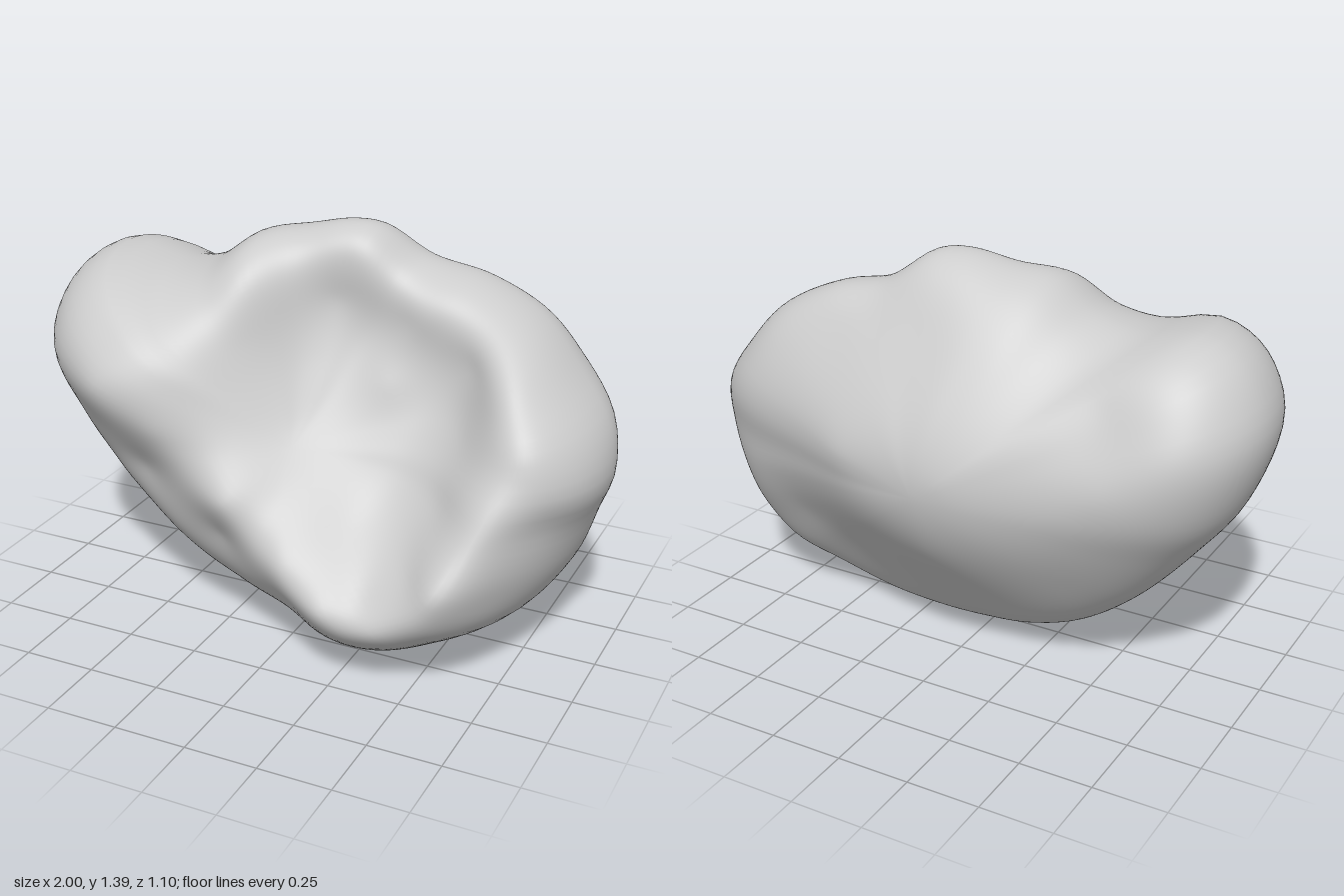
import * as THREE from 'three';
import { mergeVertices } from 'three/addons/utils/BufferGeometryUtils.js';

const CY = 0.7; // height of the boulder's centre

// Widest outline of the boulder, counter-clockwise: x, y, z
const OUTLINE = [
  [1, 0.68, -0.04], [0.97, 0.83, -0.08], [0.85, 0.98, -0.14], [0.7, 1.13, -0.18], [0.5, 1.23, -0.19],
  [0.3, 1.28, -0.17], [0.15, 1.38, -0.12], [0.05, 1.39, -0.1], [-0.1, 1.36, -0.08], [-0.25, 1.33, -0.04],
  [-0.4, 1.23, -0.03], [-0.55, 1.2, -0.03], [-0.75, 1.235, -0.04], [-0.87, 1.19, -0.05], [-0.95, 1.1, -0.05],
  [-1, 0.95, -0.06], [-0.93, 0.7, -0.08], [-0.8, 0.52, -0.08], [-0.6, 0.3, -0.08], [-0.4, 0.15, -0.07],
  [-0.2, 0.07, -0.06], [0, 0.03, -0.04], [0.2, 0, -0.01], [0.4, 0.02, -0.02], [0.6, 0.1, -0.06],
  [0.77, 0.19, -0.1], [0.88, 0.34, -0.11], [0.95, 0.53, -0.08],
];

// Points on the front: scooped hollow, its rim, the side lobe with its diagonal ridge, the lower flank
const FRONT = [
  [0.05, 1.15, 0.01], [0.3, 1.1, 0], [0.25, 0.9, 0.06], [0.25, 0.7, 0.15], [0.25, 0.5, 0.3],
  [0.34, 0.34, 0.46], [0.55, 1, 0.05], [0.55, 0.8, 0.14], [0.53, 0.6, 0.28], [0.5, 0.42, 0.44],
  [0, 0.95, 0.1], [0, 0.76, 0.21], [0.02, 0.58, 0.36], [-0.18, 1.03, 0.23], [-0.17, 0.82, 0.33],
  [0.1, 1.27, 0.01], [0.3, 1.21, -0.02], [0.58, 1.13, 0.01], [0.74, 1, 0.14], [0.83, 0.88, 0.23],
  [0.8, 0.75, 0.31], [0.72, 0.59, 0.41], [0.62, 0.42, 0.53], [0.41, 0.24, 0.53], [0.24, 0.29, 0.55],
  [-0.2, 1.23, 0.17], [-0.34, 1.05, 0.34], [-0.32, 0.9, 0.42], [-0.6, 0.9, 0.5], [-0.4, 0.76, 0.47],
  [-0.14, 0.56, 0.47], [0.08, 0.4, 0.5], [-0.82, 0.97, 0.36], [-0.58, 1.09, 0.38],
  [-0.75, 0.74, 0.33], [-0.5, 0.58, 0.35], [-0.2, 0.4, 0.38], [0.1, 0.21, 0.43],
  [-0.62, 0.5, 0.28], [-0.4, 0.36, 0.32], [-0.12, 0.2, 0.32], [0.35, 0.15, 0.46], [0.74, 0.36, 0.36],
  [0.88, 0.6, 0.22],
];

// Points on the back: broad bulge at mid height, a squarish edge toward +x, a full lower belly toward -x
const BACK = [
  [-0.1, 0.76, -0.55], [0.3, 0.78, -0.53], [-0.6, 0.8, -0.46], [0.62, 0.75, -0.43], [0.1, 1.2, -0.33],
  [0, 1, -0.47], [0.4, 1.15, -0.34], [-0.22, 1.2, -0.3], [-0.55, 1.05, -0.35], [0, 0.47, -0.46],
  [-0.15, 0.21, -0.25], [0.3, 0.2, -0.2], [-0.45, 0.4, -0.33], [-0.72, 0.62, -0.36], [0.35, 0.48, -0.4],
  [0.6, 0.4, -0.29], [0.75, 0.33, -0.24], [0.88, 0.75, -0.31], [0.85, 0.5, -0.28], [-0.84, 0.95, -0.37],
  [0.6, 1.03, -0.39], [0.8, 0.92, -0.35],
];

const rim = new THREE.CatmullRomCurve3(OUTLINE.map(p => new THREE.Vector3(...p)), true)
  .getPoints(3000)
  .map(p => ({ x: p.x, y: p.y - CY, z: p.z, r: Math.hypot(p.x, p.y - CY) }));

// Outline point lying in the direction (x, y) from the centre
function rimAt(x, y) {
  let best = rim[0], score = -Infinity;
  for (const p of rim) {
    const d = (p.x * x + p.y * y) / p.r;
    if (d > score) { score = d; best = p; }
  }
  return best;
}

const dome = s => Math.sqrt(Math.max(0, 1 - Math.pow(s, 3)));
const base = (p, s) => p.z * s * s;

// Gaussian elimination with pivoting
function solve(A, b) {
  const n = b.length;
  const M = A.map((row, i) => [...row, b[i]]);
  for (let c = 0; c < n; c++) {
    let pivot = c;
    for (let r = c + 1; r < n; r++) if (Math.abs(M[r][c]) > Math.abs(M[pivot][c])) pivot = r;
    [M[c], M[pivot]] = [M[pivot], M[c]];
    for (let r = 0; r < n; r++) {
      if (r === c) continue;
      const f = M[r][c] / M[c][c];
      for (let k = c; k <= n; k++) M[r][k] -= f * M[c][k];
    }
  }
  return M.map((row, i) => row[n] / row[i]);
}

// Smooth thin-plate depth field through the given surface points
function depthField(points) {
  const kernel = (p, x, y) => {
    const d = (p[0] - x) ** 2 + (p[1] - y) ** 2;
    return d > 1e-12 ? d * Math.log(d) : 0;
  };
  const n = points.length;
  const target = points.map(([x, y, z]) => {
    const p = rimAt(x, y - CY);
    const s = Math.min(0.97, Math.hypot(x, y - CY) / p.r);
    return (z - base(p, s)) / dome(s);
  });
  const A = points.map((p, i) => [
    ...points.map((q, j) => kernel(q, p[0], p[1]) + (i === j ? 0.004 : 0)), 1, p[0], p[1],
  ]);
  for (const f of [() => 1, p => p[0], p => p[1]]) A.push([...points.map(f), 0, 0, 0]);
  const w = solve(A, [...target, 0, 0, 0]);
  return (x, y) => points.reduce((sum, p, i) => sum + w[i] * kernel(p, x, y),
    w[n] + w[n + 1] * x + w[n + 2] * y);
}

export function createModel() {
  const front = depthField(FRONT);
  const back = depthField(BACK);

  // Sphere with its poles on z, each vertex moved onto the boulder surface
  let geometry = new THREE.SphereGeometry(1, 144, 96).rotateX(Math.PI / 2);
  geometry.deleteAttribute('uv');
  geometry.deleteAttribute('normal');
  geometry = mergeVertices(geometry, 1e-5);
  const pos = geometry.attributes.position;
  for (let i = 0; i < pos.count; i++) {
    const s = Math.min(1, Math.hypot(pos.getX(i), pos.getY(i)));
    const p = rimAt(pos.getX(i), pos.getY(i));
    const x = p.x * s, y = CY + p.y * s;
    const depth = pos.getZ(i) >= 0 ? Math.max(0.03, front(x, y)) : Math.min(-0.05, back(x, y));
    pos.setXYZ(i, x, y, base(p, s) + depth * dome(s));
  }
  geometry.computeVertexNormals();

  const stone = new THREE.MeshStandardMaterial({ color: 0xcccccc });
  stone.name = 'grey stone';
  const boulder = new THREE.Mesh(geometry, stone);
  boulder.name = 'boulder';

  const group = new THREE.Group();
  group.name = 'rock';
  group.add(boulder);
  return group;
}
